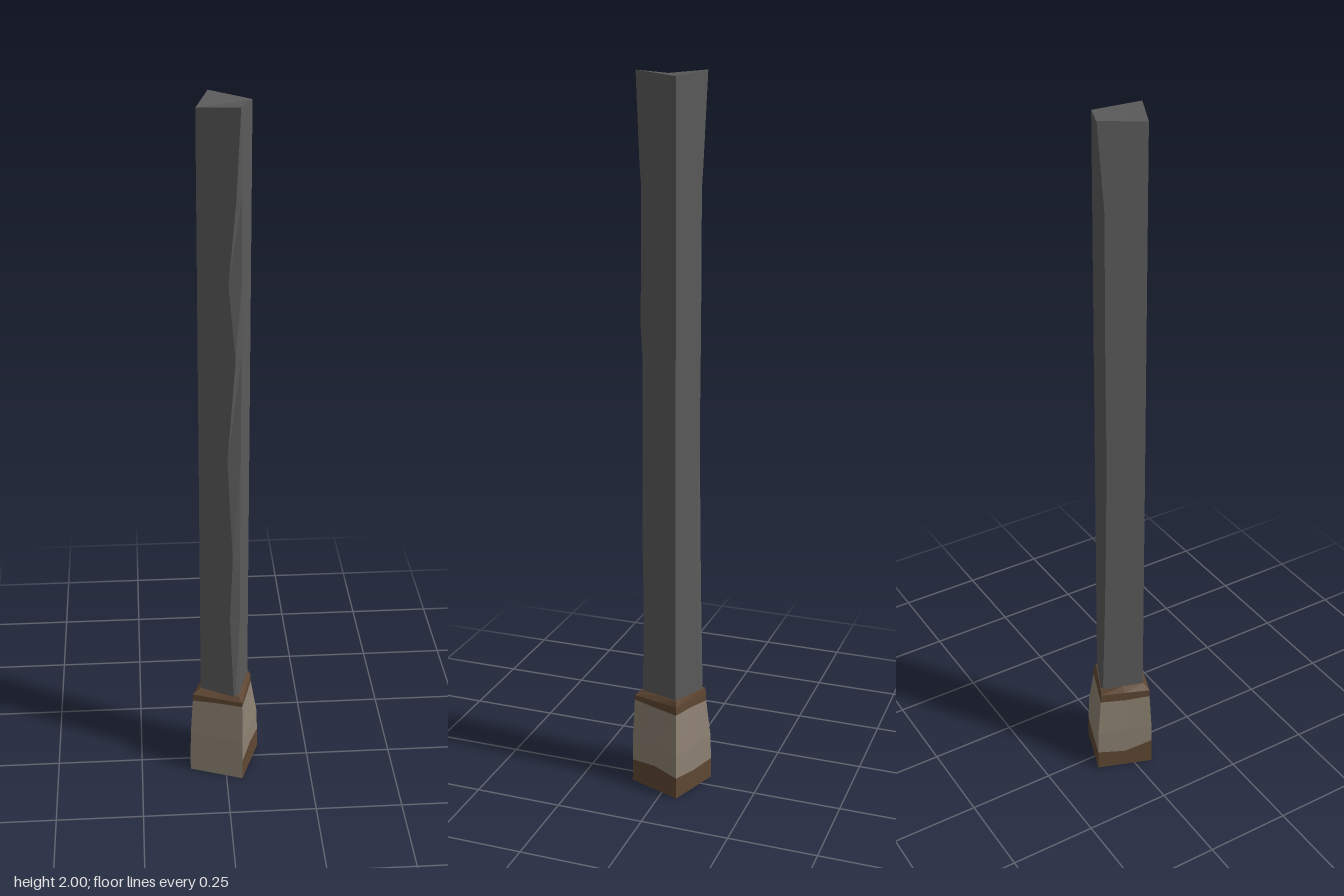
import * as THREE from 'three';

const mat = (name, color) => {
  const m = new THREE.MeshStandardMaterial({ color });
  m.name = name;
  return m;
};

// Joins rings of [x, y, z] points (counter-clockwise from above, bottom to top)
// into a faceted solid. pick(ring, side) gives the material index of each quad.
function loft(rings, pick = () => 0, floor = 0, top = 0) {
  const pos = [], geo = new THREE.BufferGeometry(), n = rings[0].length;
  const tri = (a, b, c, m) => {
    geo.addGroup(pos.length / 3, 3, m);
    pos.push(...a, ...b, ...c);
  };
  for (let r = 0; r < rings.length - 1; r++) {
    for (let i = 0; i < n; i++) {
      const j = (i + 1) % n, a = rings[r], b = rings[r + 1];
      tri(a[i], a[j], b[j], pick(r, i));
      tri(a[i], b[j], b[i], pick(r, i));
    }
  }
  const lo = rings[0], hi = rings[rings.length - 1];
  for (let i = 1; i < n - 1; i++) {
    tri(lo[0], lo[i + 1], lo[i], floor);
    tri(hi[0], hi[i], hi[i + 1], top);
  }
  geo.setAttribute('position', new THREE.Float32BufferAttribute(pos, 3));
  geo.computeVertexNormals();
  return geo;
}

// Point at a given distance from corner p toward corner q
const toward = (p, q, d) => {
  const v = new THREE.Vector3(...p);
  return v.addScaledVector(new THREE.Vector3(...q).sub(v).normalize(), d).toArray();
};

export function createModel() {
  const group = new THREE.Group();
  const iron = mat('dark grey', 0x5a5a5a);
  const stone = mat('weathered beige', 0x8c8071);
  const dirt = mat('earth brown', 0x5f4733);

  // Post: a square shaft with its front and back corners chipped away
  // [height, front chip on front face, on side face, back chip on back face, on side face]
  const chips = [
    [0.24, 0.012, 0.016, 0.012, 0.004],
    [0.55, 0.026, 0.016, 0.03, 0.012],
    [0.75, 0.018, 0.013, 0.036, 0.016],
    [1.05, 0.034, 0.016, 0.03, 0.02],
    [1.35, 0.012, 0.018, 0.026, 0.018],
    [1.55, 0.032, 0.015, 0.034, 0.018],
    [1.77, 0.012, 0.015, 0.016, 0.018],
    [2.0, 0.0005, 0.0005, 0.0005, 0.0005],
  ];
  const postRings = chips.map(([y, fa, fb, ba, bb]) => {
    const low = y === 2 ? 0.012 : 0; // the side corners of the top dip slightly
    const left = [-0.072, y - low, 0.036], front = [0.034, y, 0.085];
    const right = [0.07, y - low, -0.036], back = [-0.036, y, -0.085];
    return [left, toward(front, left, fa), toward(front, right, fb),
      right, toward(back, right, ba), toward(back, left, bb)];
  });
  const post = new THREE.Mesh(loft(postRings), [iron]);
  post.name = 'post';
  group.add(post);

  // Base: tapering block; each ring lists left, front, right and back corners as x, z
  const ground = [[-0.105, 0.05], [0.047, 0.104], [0.104, -0.05], [-0.048, -0.105]];
  const shoulder = [[-0.096, 0.045], [0.045, 0.096], [0.081, -0.042], [-0.041, -0.09]];
  const collar = [[-0.074, 0.037], [0.035, 0.08], [0.073, -0.038], [-0.037, -0.087]];
  // Corners plus side middles, with one height per point
  const ring = (corners, heights) => corners.flatMap((c, i) => {
    const d = corners[(i + 1) % 4];
    return [[c[0], heights[2 * i], c[1]],
      [(c[0] + d[0]) / 2, heights[2 * i + 1], (c[1] + d[1]) / 2]];
  });
  const flat = (y) => Array(8).fill(y);
  const mix = (t) => ground.map((c, i) => c.map((v, k) => v + (shoulder[i][k] - v) * t));
  const baseRings = [
    ring(ground, flat(0)),
    ring(mix(0.08), [0.08, 0.07, 0.066, 0.074, 0.062, 0.056, 0.06, 0.052]),
    ring(mix(0.2), flat(0.135)),
    ring(shoulder, [0.25, 0.256, 0.258, 0.252, 0.248, 0.25, 0.246, 0.244]),
    ring(mix(1.03), flat(0.272)),
    ring(collar, flat(0.288)),
  ];
  // Brown at the collar and along the foot of every side but the front
  const base = new THREE.Mesh(
    loft(baseRings, (r, i) => (r >= 3 || (r === 0 && i > 1) ? 1 : 0), 1, 1),
    [stone, dirt],
  );
  base.name = 'base';
  group.add(base);

  return group;
}
